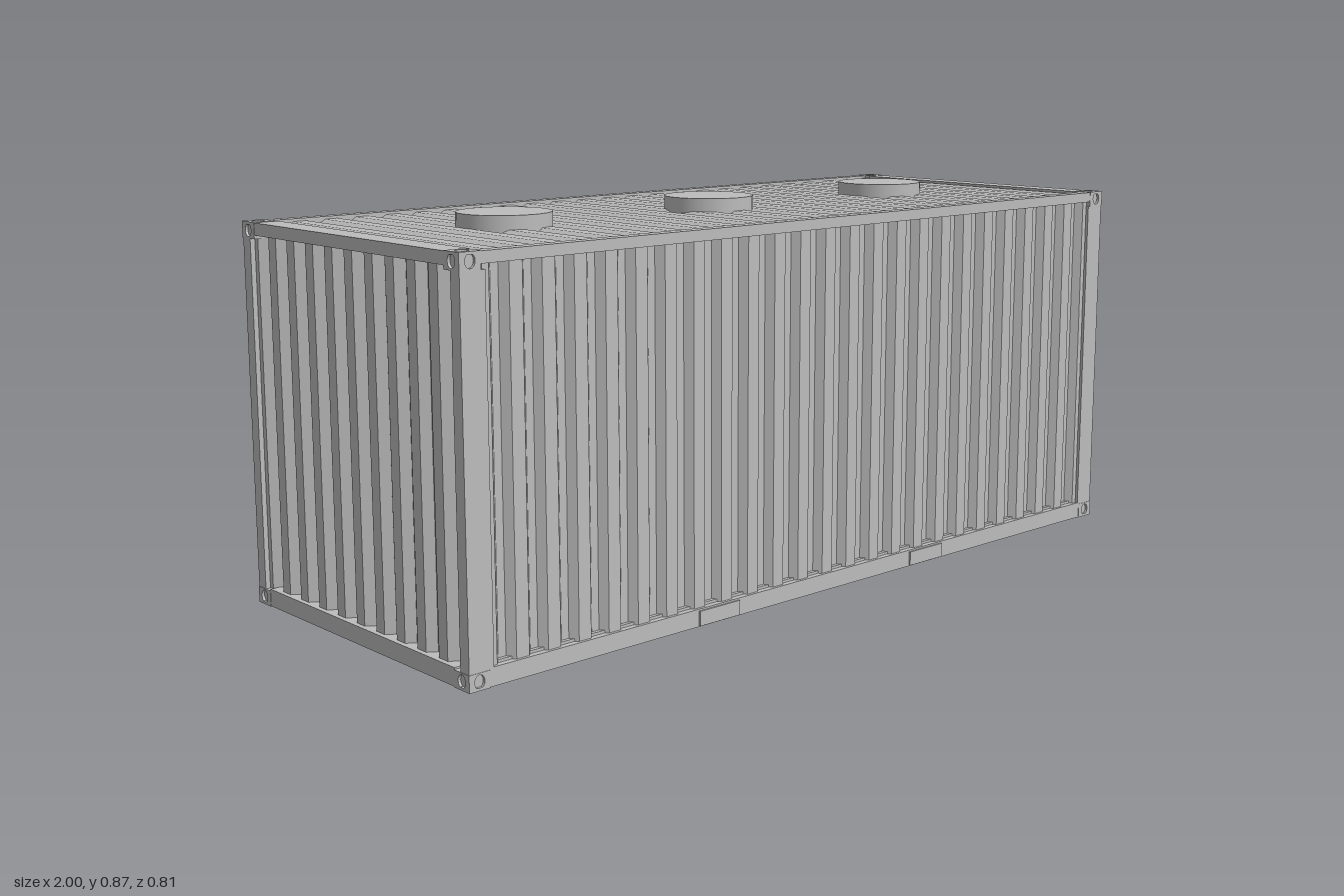
import * as THREE from 'three';

const grey = new THREE.MeshStandardMaterial({ color: 0xbcbcbc });
grey.name = 'painted steel grey';

const X0 = -1, X1 = 0.99, H = 0.85, Z = 0.4; // outer limits of the body

function add(parent, name, geometry) {
  const mesh = new THREE.Mesh(geometry, grey);
  mesh.name = name;
  parent.add(mesh);
  return mesh;
}

// Box given by its minimum and maximum on each axis
function block(parent, name, x0, x1, y0, y1, z0, z1) {
  const mesh = add(parent, name, new THREE.BoxGeometry(x1 - x0, y1 - y0, z1 - z0));
  mesh.position.set((x0 + x1) / 2, (y0 + y1) / 2, (z0 + z1) / 2);
  return mesh;
}

function rectangle(path, x0, x1, y0, y1) {
  path.moveTo(x0, y0);
  path.lineTo(x1, y0);
  path.lineTo(x1, y1);
  path.lineTo(x0, y1);
  path.closePath();
  return path;
}

// Trapezoid-wave sheet: waves run along x, crests rise to y = 0, extruded along z
function corrugated(x0, x1, waves, depth, length) {
  const shape = new THREE.Shape();
  const p = (x1 - x0) / waves;
  shape.moveTo(x0, -depth - 0.008);
  shape.lineTo(x0, 0);
  for (let i = 0; i < waves; i++) {
    const s = x0 + i * p;
    shape.lineTo(s + p * 0.2, 0);
    shape.lineTo(s + p * 0.38, -depth);
    shape.lineTo(s + p * 0.62, -depth);
    shape.lineTo(s + p * 0.8, 0);
  }
  shape.lineTo(x1, 0);
  shape.lineTo(x1, -depth - 0.008);
  return new THREE.ExtrudeGeometry(shape, { depth: length, bevelEnabled: false });
}

// Plate with an oval hole, facing +z with its outer face at z = 0
function ovalPlate(w, h, rx, ry) {
  const shape = rectangle(new THREE.Shape(), -w / 2, w / 2, -h / 2, h / 2);
  const hole = new THREE.Path();
  hole.absellipse(0, 0, rx, ry, 0, Math.PI * 2, true);
  shape.holes.push(hole);
  return new THREE.ExtrudeGeometry(shape, { depth: 0.006, bevelEnabled: false, curveSegments: 8 })
    .translate(0, 0, -0.006);
}

function cornerCasting(parent, sx, sy, sz) {
  const g = new THREE.Group();
  g.name = 'cornerCasting';
  const w = 0.05, h = 0.036, t = 0.006;
  add(g, 'castingCore', new THREE.BoxGeometry(w - t, h - t, w - t))
    .position.set(-sx * t / 2, -sy * t / 2, -sz * t / 2);
  const end = add(g, 'castingEndFace', ovalPlate(w, h, 0.012, 0.0145));
  end.rotation.y = sx * Math.PI / 2;
  end.position.x = sx * w / 2;
  const side = add(g, 'castingSideFace', ovalPlate(w, h, 0.012, 0.0145));
  side.rotation.y = sz > 0 ? 0 : Math.PI;
  side.position.z = sz * w / 2;
  const cap = add(g, 'castingCapFace', ovalPlate(w, w, 0.015, 0.012));
  cap.rotation.x = -sy * Math.PI / 2;
  cap.position.y = sy * h / 2;
  g.position.set(sx > 0 ? X1 - w / 2 : X0 + w / 2, sy > 0 ? H - h / 2 : h / 2, sz * (Z - w / 2));
  parent.add(g);
}

function frame(parent) {
  for (const sz of [1, -1]) {
    const side = (name, x0, x1, y0, y1, inner, outer) =>
      block(parent, name, x0, x1, y0, y1, Math.min(sz * inner, sz * outer), Math.max(sz * inner, sz * outer));
    side('topRail', X0 + 0.05, X1 - 0.05, 0.825, 0.849, 0.372, 0.399);
    side('bottomRail', X0 + 0.05, X1 - 0.05, 0.001, 0.04, 0.368, 0.399);
    side('endPost', X0 + 0.001, -0.94, 0.036, 0.814, 0.37, 0.399);
    side('doorPost', 0.935, X1 - 0.001, 0.036, 0.814, 0.352, 0.399);
    // Lifting pocket plates
    for (const x of [-0.345, 0.33]) side('pocketPlate', x - 0.058, x + 0.058, 0.003, 0.036, 0.39, 0.403);
    for (const sx of [1, -1]) for (const sy of [1, -1]) cornerCasting(parent, sx, sy, sz);
  }
  block(parent, 'endHeader', X0 + 0.001, -0.94, 0.822, 0.849, -0.35, 0.35);
  block(parent, 'endSill', X0 + 0.001, -0.94, 0.001, 0.04, -0.35, 0.35);
  block(parent, 'doorHeader', 0.935, X1 - 0.001, 0.82, 0.849, -0.35, 0.35);
  block(parent, 'doorSill', 0.935, X1 - 0.001, 0.001, 0.043, -0.35, 0.35);
}

function walls(parent) {
  // Side walls
  for (const turn of [0, Math.PI]) {
    const geo = corrugated(-0.94, 0.94, 24, 0.016, 0.79).rotateX(Math.PI / 2);
    const wall = add(parent, 'sideWall', geo);
    wall.rotation.y = turn;
    wall.position.set(-0.003, 0.827, turn ? -0.392 : 0.392);
  }
  // Closed end
  const end = add(parent, 'endWall', corrugated(-0.372, 0.372, 10, 0.02, 0.79).rotateX(Math.PI / 2));
  end.rotation.y = -Math.PI / 2;
  end.position.set(-0.988, 0.827, 0);
  // Roof and round vents
  add(parent, 'roof', corrugated(-0.955, 0.945, 24, 0.008, 0.77)).position.set(0, 0.843, -0.385);
  for (const x of [-0.6, -0.007, 0.587])
    add(parent, 'roofVent', new THREE.CylinderGeometry(0.104, 0.104, 0.043, 32)).position.set(x, 0.8515, 0);
}

function underside(parent) {
  block(parent, 'floor', -0.95, 0.945, 0.036, 0.046, -0.385, 0.385);
  for (let i = 0; i < 11; i++) {
    const x = -0.83 + i * 0.166;
    block(parent, 'crossBeam', x - 0.017, x + 0.017, 0.004, 0.037, -0.37, 0.37);
  }
  block(parent, 'crossBeam', -0.905, -0.88, 0.004, 0.037, -0.37, 0.37);
}

// One door leaf on the side s of z = 0, with its lock rods and handles
function doorLeaf(parent, s) {
  const g = new THREE.Group();
  g.name = 'doorLeaf';
  const span = (name, x0, x1, y0, y1, a, b) =>
    block(g, name, x0, x1, y0, y1, Math.min(s * a, s * b), Math.max(s * a, s * b));

  // Skin with pressed-in panels
  const u = (a, b) => [Math.min(-s * a, -s * b), Math.max(-s * a, -s * b)];
  const skin = rectangle(new THREE.Shape(), ...u(0.0015, 0.353), 0.045, 0.817);
  const rows = [[0.063, 0.105], [0.188, 0.283], [0.352, 0.385], [0.445, 0.475], [0.545, 0.63], [0.705, 0.795]];
  for (const [y0, y1] of rows) skin.holes.push(rectangle(new THREE.Path(), ...u(0.026, 0.337), y0, y1));
  const geo = new THREE.ExtrudeGeometry(skin, { depth: 0.012, bevelEnabled: false }).rotateY(Math.PI / 2);
  add(g, 'doorSkin', geo).position.x = 0.974;
  span('doorBacking', 0.966, 0.975, 0.043, 0.822, 0, 0.355);

  for (const z of [0.057, 0.205]) {
    const rod = add(g, 'lockRod', new THREE.CylinderGeometry(0.0048, 0.0048, 0.815, 10));
    rod.position.set(0.9925, 0.4275, s * z);
    for (const y of [0.022, 0.83]) span('rodCam', 0.985, 0.999, y - 0.006, y + 0.006, z - 0.011, z + 0.009);
    for (const [y0, y1] of [[0.063, 0.1], [0.76, 0.795]]) {
      span('rodBracketFoot', 0.975, 0.989, y0, y1, z - 0.02, z - 0.008);
      span('rodBracketFoot', 0.975, 0.989, y0, y1, z + 0.008, z + 0.02);
      span('rodBracketBar', 0.985, 0.998, y0 + 0.012, y1 - 0.012, z - 0.012, z + 0.012);
    }
    span('rodGuide', 0.982, 0.998, 0.374, 0.386, z - 0.014, z + 0.014);
  }

  // Handles: hub on the rod, lever, and catch
  for (const [y, z, tip, grip] of [[0.26, 0.057, 0.17, 0.15], [0.2, 0.205, 0.098, 0.118]]) {
    span('handleHub', 0.985, 1, y - 0.014, y + 0.012, z - 0.011, z + 0.011);
    span('handleLever', 0.992, 0.999, y - 0.005, y + 0.004, z, tip);
    span('handleCatch', 0.976, 1, y - 0.017, y + 0.022, grip - 0.006, grip + 0.006);
    span('catchPlate', 0.984, 0.996, y - 0.008, y + 0.008, grip - 0.016, grip + 0.016);
  }

  // Hinges
  for (const y of [0.092, 0.317, 0.54, 0.765]) {
    span('hingeBlade', 0.98, 0.9915, y - 0.016, y + 0.016, 0.368, 0.377);
    for (const e of [-1, 1])
      span('hingeKnuckle', 0.98, 0.993, y + e * 0.012 - 0.004, y + e * 0.012 + 0.004, 0.367, 0.379);
  }
  parent.add(g);
}

export function createModel() {
  const model = new THREE.Group();
  model.name = 'shippingContainer';
  frame(model);
  walls(model);
  underside(model);
  for (const s of [1, -1]) doorLeaf(model, s);
  // Plain plate on the right-hand leaf
  block(model, 'dataPlate', 0.98, 0.988, 0.378, 0.462, -0.194, -0.081);
  return model;
}
